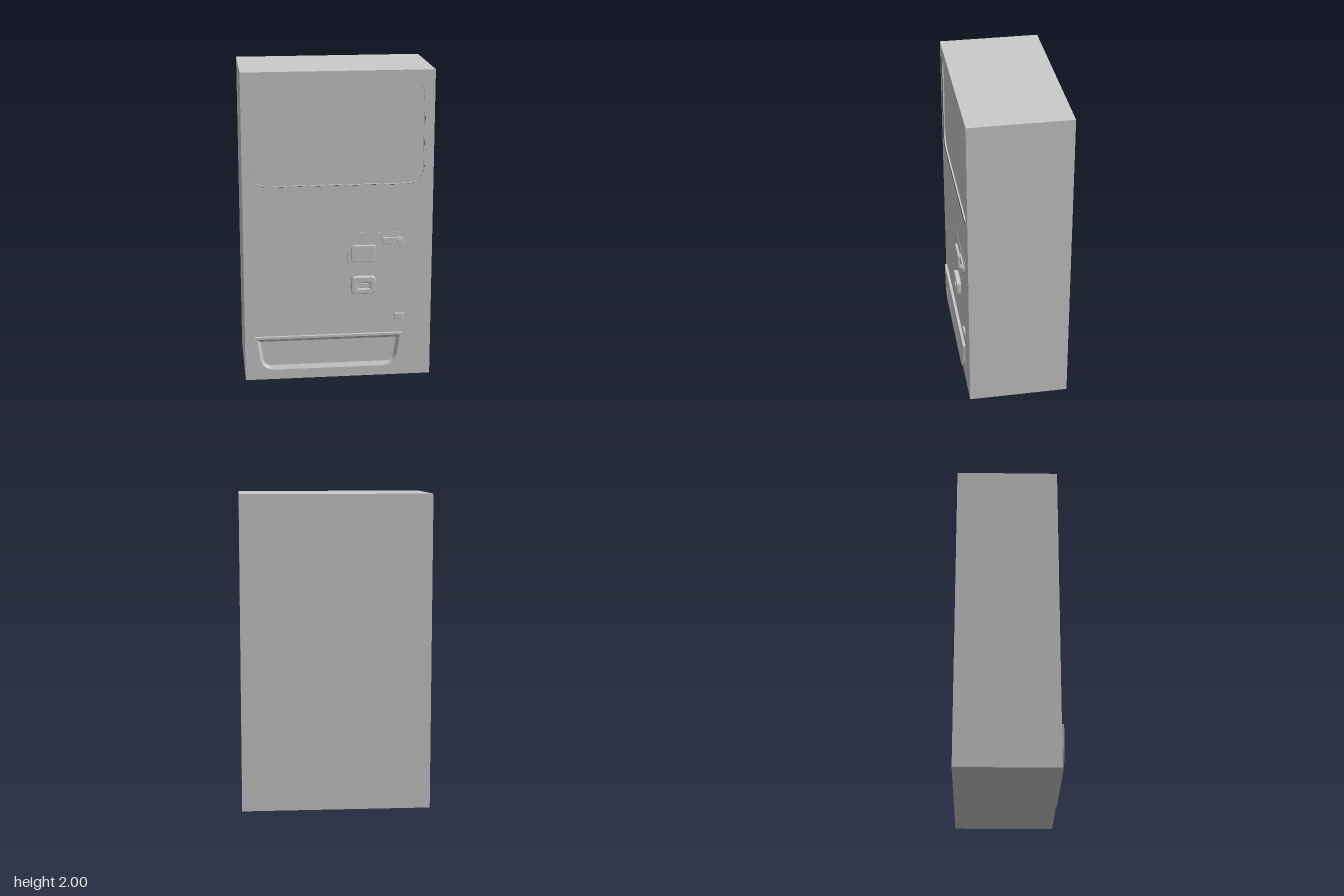
import * as THREE from 'three';

const FRONT = 0.305, BACK = -0.335;
const grey = new THREE.MeshStandardMaterial({ color: 0xcccccc });

// Closed outline with rounded corners; each point is [x, y, radius]
function rounded(points, PathType = THREE.Shape) {
  const path = new PathType();
  const n = points.length;
  points.forEach(([x, y, r], i) => {
    const p = new THREE.Vector2(x, y);
    const toward = ([a, b]) => new THREE.Vector2(a, b).sub(p).setLength(r).add(p);
    const a = toward(points[(i + n - 1) % n]), b = toward(points[(i + 1) % n]);
    if (i === 0) path.moveTo(a.x, a.y); else path.lineTo(a.x, a.y);
    if (r > 0) path.quadraticCurveTo(x, y, b.x, b.y);
  });
  path.closePath();
  return path;
}

const rect = (x0, x1, y0, y1, r, PathType) =>
  rounded([[x0, y0, r], [x1, y0, r], [x1, y1, r], [x0, y1, r]], PathType);

export function createModel() {
  const model = new THREE.Group();

  function add(name, geometry) {
    const mesh = new THREE.Mesh(geometry, grey);
    mesh.name = name;
    model.add(mesh);
    return mesh;
  }

  // Extrude from z0 to z1, with an optional bevel kept inside the outline
  function slab(name, shape, z0, z1, bevel = 0) {
    const g = new THREE.ExtrudeGeometry(shape, {
      depth: z1 - z0 - bevel, curveSegments: 10, bevelEnabled: bevel > 0,
      bevelThickness: bevel, bevelSize: bevel, bevelOffset: -bevel, bevelSegments: 3,
    });
    g.translate(0, 0, z0);
    return add(name, g);
  }

  // Cabinet: a box without its front face
  const box = new THREE.BoxGeometry(1.2, 2, FRONT - BACK);
  box.translate(0, 1, (FRONT + BACK) / 2);
  box.setIndex([...box.index.array].filter((_, i) => i < 24 || i >= 30));
  box.clearGroups();
  add('cabinet', box);

  // Front face with the window opening
  const face = rect(-0.6, 0.6, 0, 2, 0);
  face.holes.push(rect(-0.545, 0.54, 1.28, 1.945, 0.11, THREE.Path));
  const faceGeometry = new THREE.ShapeGeometry(face, 10);
  faceGeometry.translate(0, 0, FRONT);
  add('frontPanel', faceGeometry);

  // Recessed display window and its narrow lip
  const lip = rect(-0.545, 0.54, 1.28, 1.945, 0.11);
  lip.holes.push(rect(-0.54, 0.535, 1.285, 1.94, 0.107, THREE.Path));
  slab('windowLip', lip, 0.285, FRONT - 0.003);
  slab('displayWindow', rect(-0.545, 0.54, 1.28, 1.945, 0.11), 0.28, 0.292);

  // Delivery tray: raised rim, sloping inner wall and floor
  const trayOuter = [[-0.54, 0.295, 0], [-0.505, 0.06, 0.1], [0.38, 0.06, 0.1], [0.415, 0.295, 0]];
  const trayInner = [[-0.525, 0.28, 0.005], [-0.493, 0.072, 0.09], [0.368, 0.072, 0.09], [0.4, 0.28, 0.005]];
  const trayFloor = [[-0.5, 0.262, 0.005], [-0.478, 0.1, 0.04], [0.353, 0.1, 0.04], [0.375, 0.262, 0.005]];
  const rim = rounded(trayOuter);
  rim.holes.push(rounded(trayInner, THREE.Path));
  slab('trayRim', rim, FRONT - 0.005, 0.322);
  const loop = (pts) => rounded(pts).getPoints(10);
  const a = loop(trayInner), b = loop(trayFloor), position = [], index = [];
  a.forEach((p, i) => {
    position.push(p.x, p.y, 0.322, b[i].x, b[i].y, 0.308);
    if (i < a.length - 1) {
      const k = i * 2;
      index.push(k, k + 2, k + 1, k + 1, k + 2, k + 3);
    }
  });
  const slope = new THREE.BufferGeometry();
  slope.setAttribute('position', new THREE.Float32BufferAttribute(position, 3));
  slope.setIndex(index);
  slope.computeVertexNormals();
  const wall = add('trayWall', slope);
  wall.material = grey.clone();
  wall.material.side = THREE.DoubleSide;
  slab('trayFloor', rounded(trayFloor), FRONT - 0.005, 0.308);

  // Thin plate behind the coin controls
  slab('controlPlate', rounded([
    [0.06, 0.73, 0.02], [0.27, 0.73, 0.03], [0.46, 0.82, 0.04], [0.46, 0.97, 0.04], [0.06, 0.97, 0.01],
  ]), FRONT - 0.003, FRONT + 0.002);

  // Coin panel
  slab('coinPanel', rect(0.08, 0.24, 0.78, 0.89, 0.025), FRONT - 0.005, 0.322, 0.004);

  // Bill acceptor: raised bezel around a sunken mouth
  const bezel = rect(0.08, 0.24, 0.57, 0.685, 0.035);
  bezel.holes.push(rect(0.12, 0.2, 0.605, 0.647, 0.002, THREE.Path));
  slab('billBezel', bezel, FRONT - 0.005, 0.335, 0.006);
  slab('billMouth', rect(0.115, 0.205, 0.6, 0.652, 0), FRONT - 0.004, 0.318);
  slab('billSlot', rect(0.13, 0.19, 0.614, 0.638, 0), 0.316, 0.324);

  // Return lever: tapered arm, round hub and small tip button
  slab('leverArm', rounded([
    [0.277, 0.9, 0.015], [0.42, 0.866, 0.03], [0.42, 0.937, 0.025], [0.277, 0.937, 0.012],
  ]), FRONT, 0.317, 0.003);
  for (const [name, x, y, r, z] of [
    ['leverHub', 0.392, 0.906, 0.022, 0.326], ['leverTip', 0.3, 0.917, 0.012, 0.323],
  ]) {
    const g = new THREE.CylinderGeometry(r * 0.85, r, z - FRONT, 24);
    g.rotateX(Math.PI / 2);
    g.translate(x, y, (z + FRONT) / 2);
    add(name, g);
  }

  // Lock pad above the tray
  slab('lockPad', rect(0.365, 0.425, 0.386, 0.425, 0.006), FRONT - 0.005, 0.317, 0.003);

  return model;
}
